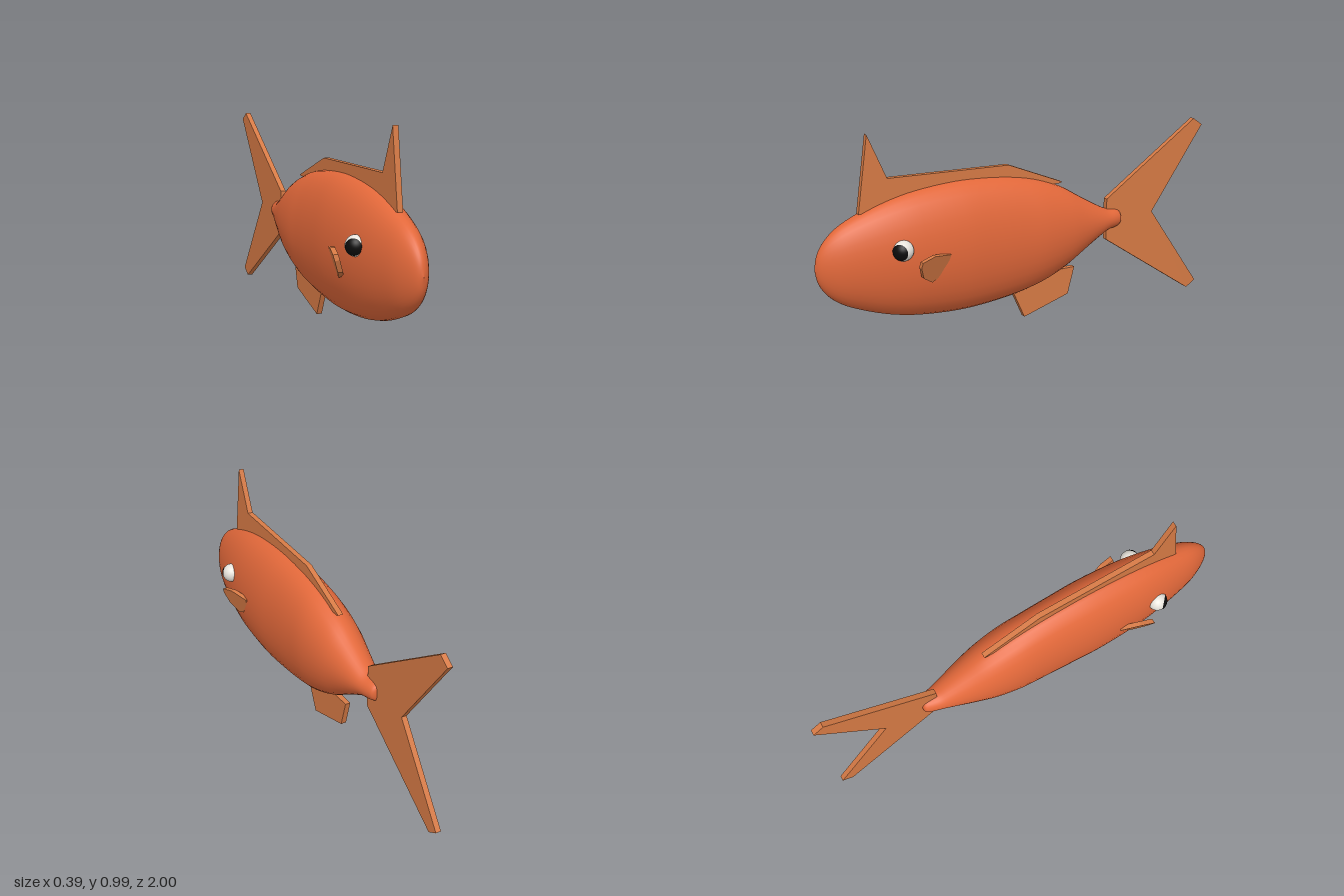
import * as THREE from 'three';

const material = (name, color) => {
  const m = new THREE.MeshStandardMaterial({ color });
  m.name = name;
  return m;
};

// Smooth elliptical loft along z; stations are [z, half height, half width]
function loftBody(stations, centreY, rings, sides) {
  const curve = new THREE.CatmullRomCurve3(stations.map(s => new THREE.Vector3(...s)));
  const positions = [], index = [];
  curve.getPoints(rings).forEach(({ x: z, y: h, z: w }, i) => {
    for (let j = 0; j < sides; j++) {
      const t = (j / sides) * Math.PI * 2;
      positions.push(w * Math.cos(t), centreY + h * Math.sin(t), z);
      if (i === rings) continue;
      const a = i * sides + j, b = i * sides + (j + 1) % sides;
      if (i > 0) index.push(a, a + sides, b);
      else index.push(a, a + sides, b + sides);
      if (i > 0 && i < rings - 1) index.push(b, a + sides, b + sides);
    }
  });
  const g = new THREE.BufferGeometry();
  g.setAttribute('position', new THREE.Float32BufferAttribute(positions, 3));
  g.setIndex(index);
  g.computeVertexNormals();
  return g;
}

// Flat plate from a [z, y] outline, centred on x = 0
function plate(outline, thickness) {
  const shape = new THREE.Shape(outline.map(p => new THREE.Vector2(...p)));
  const g = new THREE.ExtrudeGeometry(shape, { depth: thickness, bevelEnabled: false });
  return g.translate(0, 0, -thickness / 2).rotateY(-Math.PI / 2);
}

export function createModel() {
  const fish = new THREE.Group();
  fish.name = 'fish';
  const orange = material('body orange', 0xe2683a);
  const tan = material('fin tan', 0xd67a45);
  const white = material('eye white', 0xece8e0);
  const black = material('pupil black', 0x0c0c0c);

  const add = (name, geometry, mat, parent = fish) => {
    const mesh = new THREE.Mesh(geometry, mat);
    mesh.name = name;
    parent.add(mesh);
    return mesh;
  };

  // Body, nose to tail root
  add('body', loftBody([
    [1, 0, 0], [0.985, 0.065, 0.025], [0.95, 0.12, 0.05], [0.89, 0.17, 0.077],
    [0.8, 0.213, 0.1], [0.68, 0.255, 0.122], [0.55, 0.283, 0.137], [0.35, 0.3, 0.145],
    [0.2, 0.295, 0.141], [0.05, 0.277, 0.138], [-0.07, 0.248, 0.137], [-0.2, 0.195, 0.122],
    [-0.3, 0.135, 0.099], [-0.4, 0.077, 0.072], [-0.45, 0.053, 0.058], [-0.5, 0.045, 0.044],
    [-0.52, 0.035, 0.035], [-0.53, 0, 0],
  ], 0.44, 68, 32), orange);

  // Fins on the centre line
  add('dorsalFin', plate([
    [0.8, 0.655], [0.75, 0.99], [0.665, 0.793], [0.08, 0.775], [-0.2, 0.66], [-0.19, 0.655],
  ], 0.025), tan);
  add('tailFin', plate([
    [-0.45, 0.54], [-0.95, 0.875], [-1, 0.84], [-0.715, 0.44],
    [-1, 0.035], [-0.95, 0.003], [-0.45, 0.34],
  ], 0.025), tan);
  add('ventralFin', plate([
    [0.09, 0.235], [0, 0.035], [-0.237, 0.105], [-0.272, 0.235],
  ], 0.025), tan);

  for (const s of [1, -1]) {
    const side = s > 0 ? 'left' : 'right';

    // Side fin, slanted outwards towards its front and top
    const fin = plate([
      [0.6, 0.435], [0.595, 0.46], [0.53, 0.474], [0.44, 0.458],
      [0.45, 0.42], [0.5, 0.357], [0.53, 0.346], [0.58, 0.38],
    ], 0.024);
    const p = fin.attributes.position;
    for (let i = 0; i < p.count; i++) {
      p.setX(i, p.getX(i) + s * (0.137 + 0.3 * (p.getZ(i) - 0.44) + 0.3 * (p.getY(i) - 0.46)));
    }
    fin.computeVertexNormals();
    add(side + 'PectoralFin', fin, tan);

    // Eye with a pupil cap facing forwards and outwards
    const eye = new THREE.Group();
    eye.name = side + 'Eye';
    eye.position.set(s * 0.12, 0.503, 0.65);
    add('eyeball', new THREE.SphereGeometry(0.045, 24, 16), white, eye);
    const cap = new THREE.SphereGeometry(0.0465, 24, 8, 0, Math.PI * 2, 0, 0.87);
    add('pupil', cap.rotateX(Math.PI / 2).rotateY(s * 0.72), black, eye);
    fish.add(eye);
  }
  return fish;
}
